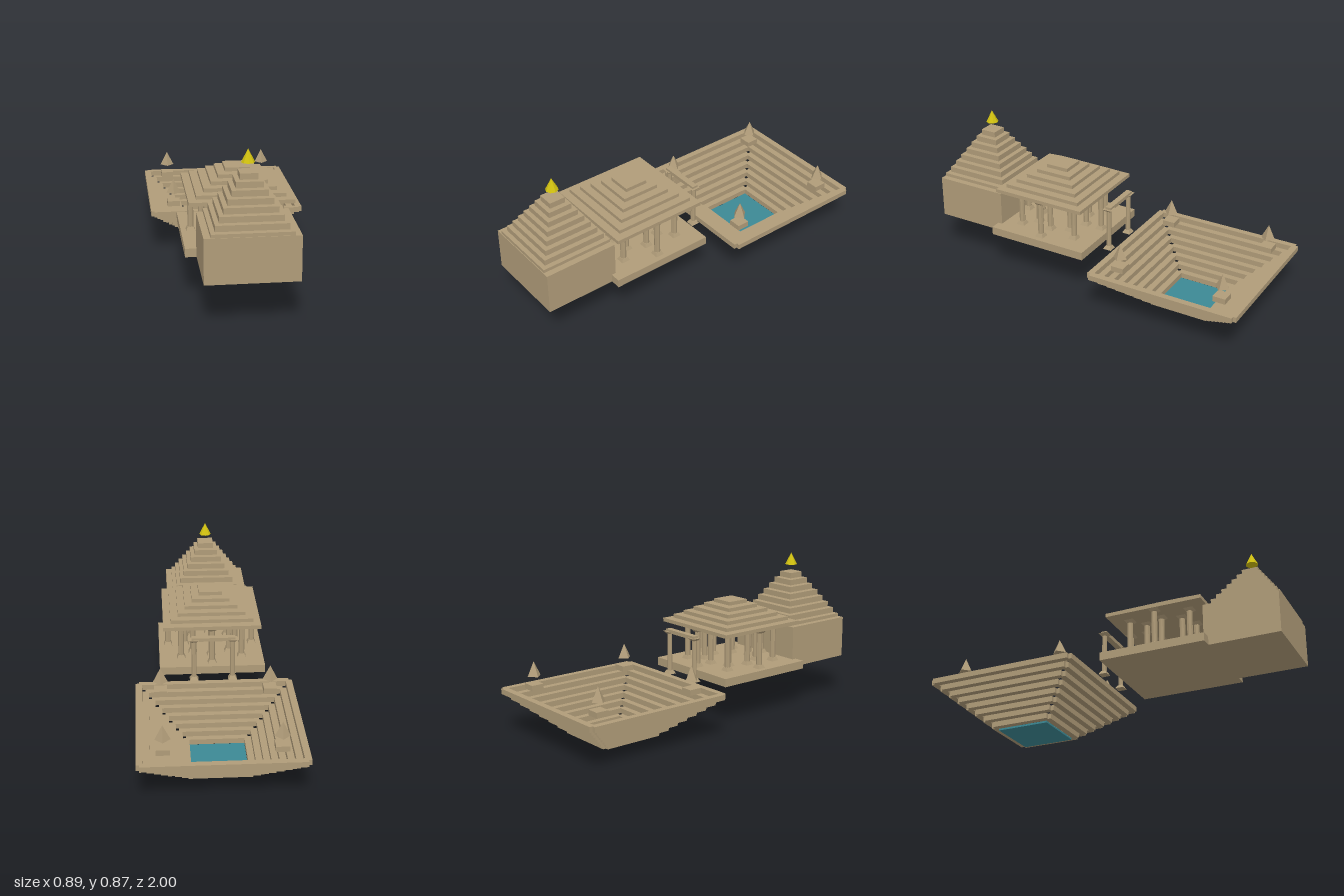
import * as THREE from 'three';

export function createModel() {
  const model = new THREE.Group();
  model.name = 'templeWithSteppedTank';

  const mat = (name, color, extra = {}) => {
    const m = new THREE.MeshStandardMaterial({ color, ...extra });
    m.name = name;
    return m;
  };
  const stone = mat('sandstone', 0xb09c79, { flatShading: true });
  const water = mat('water', 0x3c8995);
  const gold = mat('gold', 0xd0c010, { flatShading: true });

  const group = (name, parent = model) => {
    const g = new THREE.Group();
    g.name = name;
    parent.add(g);
    return g;
  };
  const add = (parent, name, geo, material, x, y, z) => {
    const m = new THREE.Mesh(geo, material);
    m.name = name;
    m.position.set(x, y, z);
    parent.add(m);
    return m;
  };
  // Box given by its bottom height
  const box = (parent, name, w, h, d, x, y0, z, material = stone) =>
    add(parent, name, new THREE.BoxGeometry(w, h, d), material, x, y0 + h / 2, z);
  // Square frustum given by its half widths
  const frustum = (parent, name, top, bottom, h, x, y0, z) => {
    const geo = new THREE.CylinderGeometry(top * Math.SQRT2, bottom * Math.SQRT2, h, 4);
    geo.rotateY(Math.PI / 4);
    return add(parent, name, geo, stone, x, y0 + h / 2, z);
  };
  // Pillar: flared base, octagonal shaft, flared capital
  const pillar = (parent, name, x, z, y0, y1, r) => {
    const p = group(name, parent);
    const baseH = 0.02, capH = 0.014;
    frustum(p, 'pillarBase', r, 0.025, baseH, x, y0, z);
    const h = y1 - y0 - baseH - capH;
    add(p, 'pillarShaft', new THREE.CylinderGeometry(r, r, h, 8), stone, x, y0 + baseH + h / 2, z);
    frustum(p, 'pillarCapital', 0.027, r, capH, x, y1 - capH, z);
  };

  // Stepped tank: eight rings of four slabs, notched at the corners
  const tank = group('steppedTank');
  const tankZ = -0.5555, step = 0.0363, rise = 0.0306;
  box(tank, 'waterSurface', 0.305, 0.0107, 0.305, 0, 0, tankZ, water);
  for (let i = 0; i < 8; i++) {
    const s = 0.1712 + i * step, y = 0.0107 + i * rise;
    for (const side of [-1, 1]) {
      box(tank, 'tankStep', 2 * s, rise, step, 0, y, tankZ + side * s);
      box(tank, 'tankStep', step, rise, 2 * s, side * s, y, tankZ);
    }
  }

  // Corner shrines: pedestal with a spire hovering above it
  for (const sx of [-1, 1]) for (const sz of [-1, 1]) {
    const x = sx * 0.305, z = tankZ + sz * 0.305;
    const shrine = group('cornerShrine', tank);
    box(shrine, 'shrinePedestal', 0.073, 0.031, 0.073, x, 0.2555, z);
    add(shrine, 'shrineSpire', new THREE.ConeGeometry(0.041, 0.082, 4), stone, x, 0.371, z);
  }

  // Gateway between tank and hall
  const gate = group('gateway');
  const gateZ = -0.068;
  for (const sx of [-1, 1]) pillar(gate, 'gatePillar', sx * 0.11, gateZ, 0.243, 0.495, 0.014);
  box(gate, 'gateLintel', 0.246, 0.021, 0.034, 0, 0.487, gateZ);

  // Pillared hall
  const hall = group('pillaredHall');
  const hallZ = 0.299;
  box(hall, 'hallPlatform', 0.608, 0.047, 0.606, 0, 0.2405, hallZ);
  for (const ring of [0.25, 0.15]) {
    for (let i = 0; i < 8; i++) {
      const a = (i * Math.PI) / 4;
      pillar(hall, 'hallPillar', ring * Math.cos(a), hallZ + ring * Math.sin(a), 0.2875, 0.508, 0.0165);
    }
  }
  for (let i = 0; i < 6; i++) {
    const w = 2 * (0.28 - i * 0.0425);
    box(hall, 'hallRoofTier', w, 0.021, w, 0, 0.508 + i * 0.0245, hallZ);
  }

  // Sanctum with its tiered tower and golden finial
  const sanctum = group('sanctum');
  const sanctumZ = 0.788;
  box(sanctum, 'sanctumWalls', 0.486, 0.241, 0.424, 0, 0.2405, sanctumZ);
  for (let i = 0; i < 8; i++) {
    const w = 2 * (0.208 - i * 0.0231);
    box(sanctum, 'towerTier', w, 0.032, w, 0, 0.4685 + i * 0.0364, sanctumZ);
  }
  add(sanctum, 'finial', new THREE.ConeGeometry(0.0355, 0.07, 8), gold, 0, 0.835, sanctumZ);

  return model;
}
